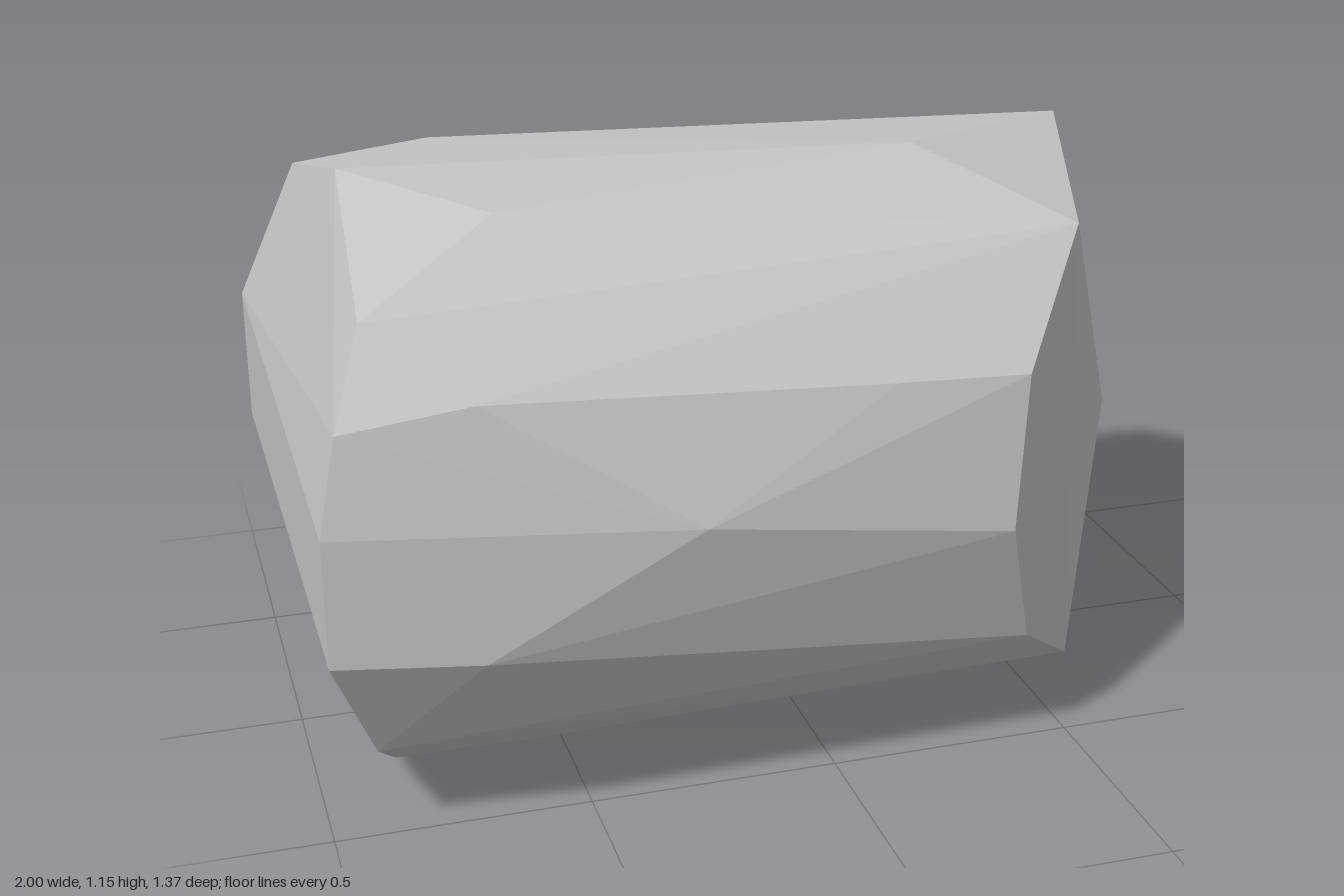
import * as THREE from 'three';
import { ConvexGeometry } from 'three/addons/geometries/ConvexGeometry.js';

// Slanted broken end
const slantedEnd = [
  [0.53, 1.05, 0.385], [0.35, 0.83, 0.595], [0.31, 0.53, 0.64], [0.38, 0.26, 0.56],
  [0.57, 0.085, 0.335], [0.77, 0.065, -0.29], [1.0, 0.325, -0.435],
  [0.77, 1.095, -0.29], [0.76, 0.93, -0.49],
];

// Rim of the bevelled end, clockwise from the top
const bevelledEnd = [
  [-0.85, 1.155, -0.06], [-0.89, 1.015, 0.465], [-0.96, 0.86, 0.6], [-1, 0.68, 0.635],
  [-1, 0.43, 0.635], [-0.91, 0.19, 0.52], [-0.85, 0.045, 0.295], [-0.85, 0, -0.13],
  [-0.87, 0.055, -0.41], [-0.93, 0.2, -0.595], [-1, 0.43, -0.685], [-1, 0.715, -0.685],
  [-0.885, 1.05, -0.515],
];

// Bulges along the body
const body = [
  [-0.72, 0.41, 0.66], [-0.31, 0.635, 0.685], [-0.71, 0.89, 0.605], [0.08, 0.845, 0.605],
  [-0.6, 1.13, 0.245], [0.29, 1.155, 0.08], [-0.63, 1.14, -0.3], [-0.7, 0.935, -0.61],
  [0.57, 0.83, -0.565], [0.74, 0.53, -0.55], [0.26, 0.41, -0.615], [0.62, 0.175, -0.49],
  [0.28, 0, 0.035], [-0.6, 0.045, 0.3], [-0.68, 0.055, -0.42],
];

export function createModel() {
  const group = new THREE.Group();
  group.name = 'rock';
  const stone = new THREE.MeshStandardMaterial({ color: 0xc4c4c4 });
  stone.name = 'light grey stone';

  // Faceted boulder wrapped around the three sets of corners
  const points = [...slantedEnd, ...bevelledEnd, ...body].map((p) => new THREE.Vector3(...p));
  const boulder = new THREE.Mesh(new ConvexGeometry(points), stone);
  boulder.name = 'boulder';
  group.add(boulder);
  return group;
}
